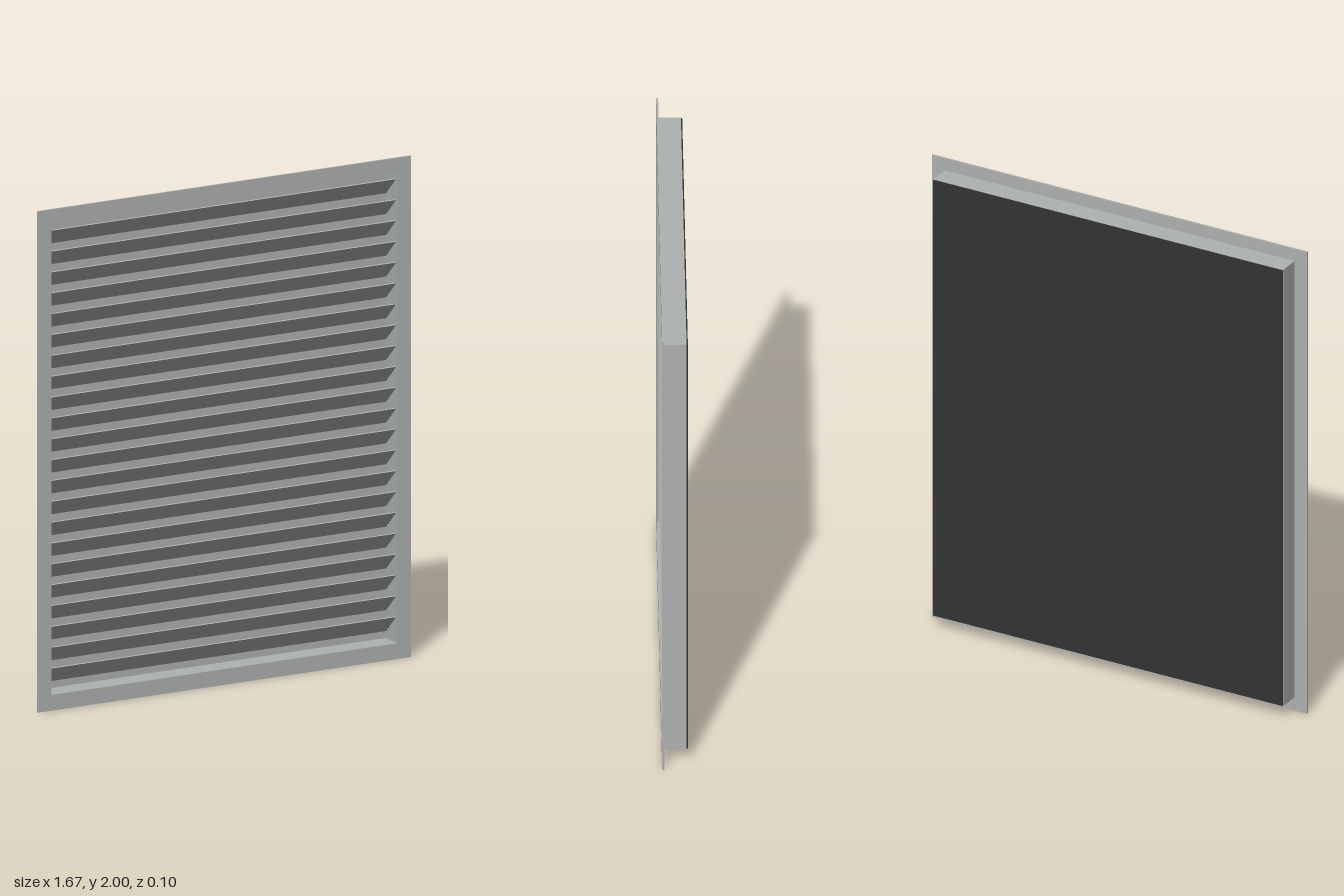
import * as THREE from 'three';

const material = (name, color) => {
  const m = new THREE.MeshStandardMaterial({ color });
  m.name = name;
  return m;
};

// Rectangular ring with its back at z, extruded towards +z
function ring(name, mat, outerX, y0, y1, innerX, h0, h1, z, depth) {
  const shape = new THREE.Shape([[-outerX, y0], [outerX, y0], [outerX, y1], [-outerX, y1]].map(p => new THREE.Vector2(...p)));
  shape.holes.push(new THREE.Path([[-innerX, h0], [-innerX, h1], [innerX, h1], [innerX, h0]].map(p => new THREE.Vector2(...p))));
  const geo = new THREE.ExtrudeGeometry(shape, { depth, bevelEnabled: false });
  const mesh = new THREE.Mesh(geo, mat);
  mesh.name = name;
  mesh.position.z = z;
  return mesh;
}

function plate(name, mat, w, h, d, y, z) {
  const mesh = new THREE.Mesh(new THREE.BoxGeometry(w, h, d), mat);
  mesh.name = name;
  mesh.position.set(0, y, z);
  return mesh;
}

export function createModel() {
  const group = new THREE.Group();
  group.name = 'louvreVent';
  const metal = material('grey metal', 0xaeb2b1);
  const dark = material('dark mesh', 0x333333);

  // Flange around the opening and the sleeve behind it
  group.add(ring('frontFlange', metal, 0.833, 0, 2, 0.773, 0.063, 1.943, 0.042, 0.008));
  group.add(ring('sleeve', metal, 0.777, 0.058, 1.948, 0.773, 0.063, 1.943, -0.045, 0.087));

  // Closed back: grey inside, dark outside
  group.add(plate('innerBacking', metal, 1.546, 1.88, 0.003, 1.003, -0.0435));
  group.add(plate('backPanel', dark, 1.55, 1.886, 0.005, 1.003, -0.0475));

  // Slanted blades, front edge high and rear edge low
  const blades = new THREE.Group();
  blades.name = 'blades';
  const rise = 0.073, run = 0.076;
  const bladeGeo = new THREE.BoxGeometry(1.546, 0.004, Math.hypot(rise, run));
  for (let i = 0; i < 22; i++) {
    const blade = new THREE.Mesh(bladeGeo, metal);
    blade.name = 'blade';
    blade.position.set(0, 1.877 - i * 0.0832, 0);
    blade.rotation.x = -Math.atan2(rise, run);
    blades.add(blade);
  }
  group.add(blades);
  return group;
}
